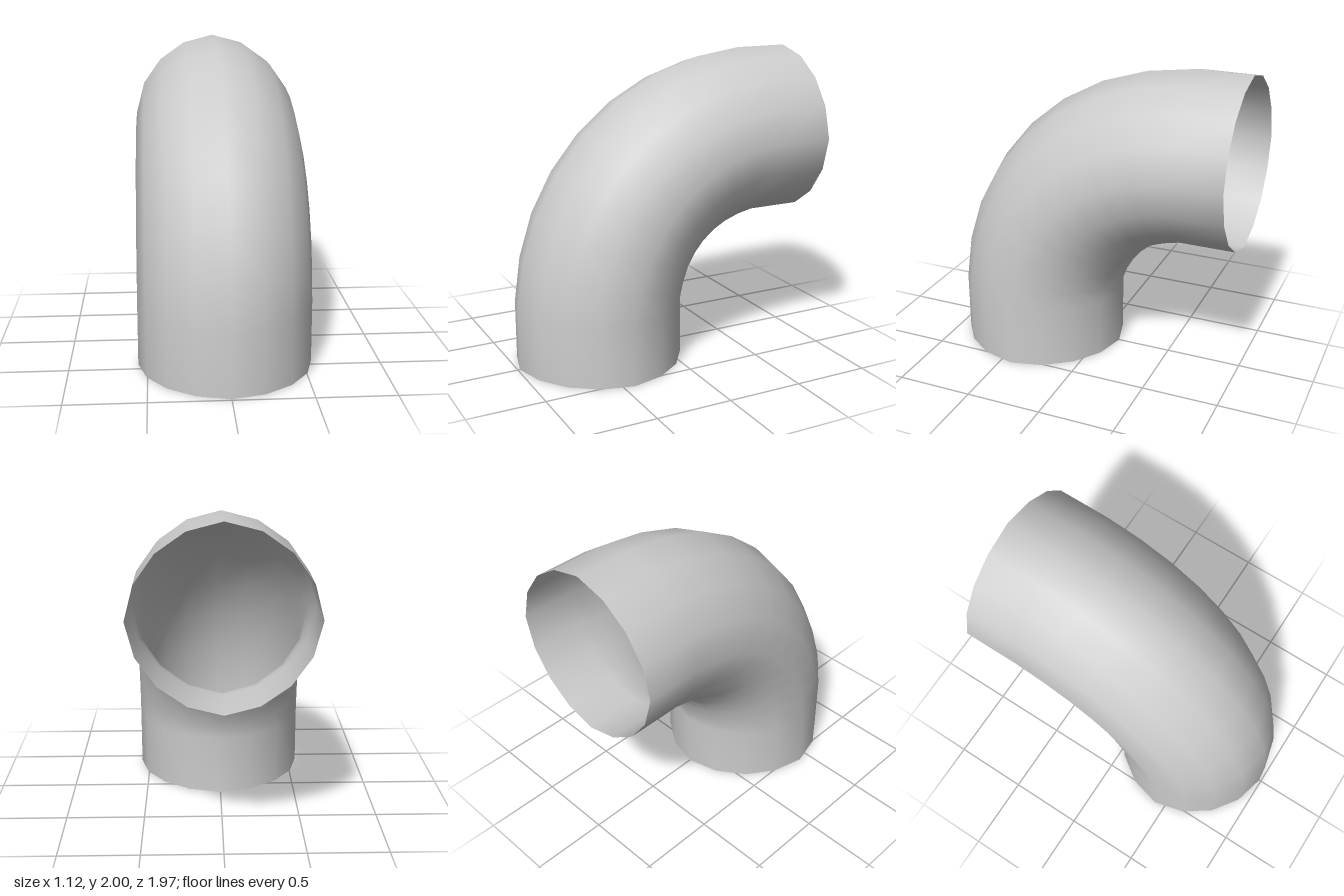
import * as THREE from 'three';

const SIDES = 16;
const BEND_STEPS = 8;
const BEND_RADIUS = 1.045;
const CENTRE_Y = 0.394; // centre of the bend
const CENTRE_Z = -0.62;
const END_Z = -0.985;

// Slightly squashed circle: full radius on the axes, a little less on the diagonals
function tubeRadius(a) {
  return 0.561 - 0.018 * Math.abs(Math.sin(2 * a));
}

// Cross-sections from the floor, round the quarter bend, to the rear opening
function crossSections() {
  const rings = [{ t: 0, y: 0, z: CENTRE_Z }];
  for (let i = 0; i <= BEND_STEPS; i++) {
    rings.push({ t: (i / BEND_STEPS) * Math.PI / 2, y: CENTRE_Y, z: CENTRE_Z });
  }
  rings.push({ t: Math.PI / 2, y: CENTRE_Y, z: END_Z });
  return rings;
}

function elbowGeometry() {
  const positions = [];
  const indices = [];
  const rings = crossSections();

  rings.forEach(({ t, y, z }, i) => {
    // The bend flattens a touch between its two ends
    const bend = BEND_RADIUS - 0.022 * Math.sqrt(Math.max(0, Math.sin(2 * t)));
    for (let j = 0; j < SIDES; j++) {
      const a = (j / SIDES) * Math.PI * 2;
      const r = tubeRadius(a);
      const reach = bend + r * Math.cos(a);
      positions.push(r * Math.sin(a), y + reach * Math.sin(t), z + reach * Math.cos(t));

      if (i < rings.length - 1) {
        const p = i * SIDES + j;
        const q = i * SIDES + (j + 1) % SIDES;
        indices.push(p, q, p + SIDES, q, q + SIDES, p + SIDES);
      }
    }
  });

  const geometry = new THREE.BufferGeometry();
  geometry.setAttribute('position', new THREE.Float32BufferAttribute(positions, 3));
  geometry.setIndex(indices);
  geometry.computeVertexNormals();
  return geometry;
}

export function createModel() {
  const group = new THREE.Group();
  group.name = 'pipeElbow';

  // Thin open-ended pipe, visible inside and out
  const material = new THREE.MeshStandardMaterial({ color: 0xcccccc, side: THREE.DoubleSide });
  const pipe = new THREE.Mesh(elbowGeometry(), material);
  pipe.name = 'bentPipe';
  group.add(pipe);

  return group;
}
